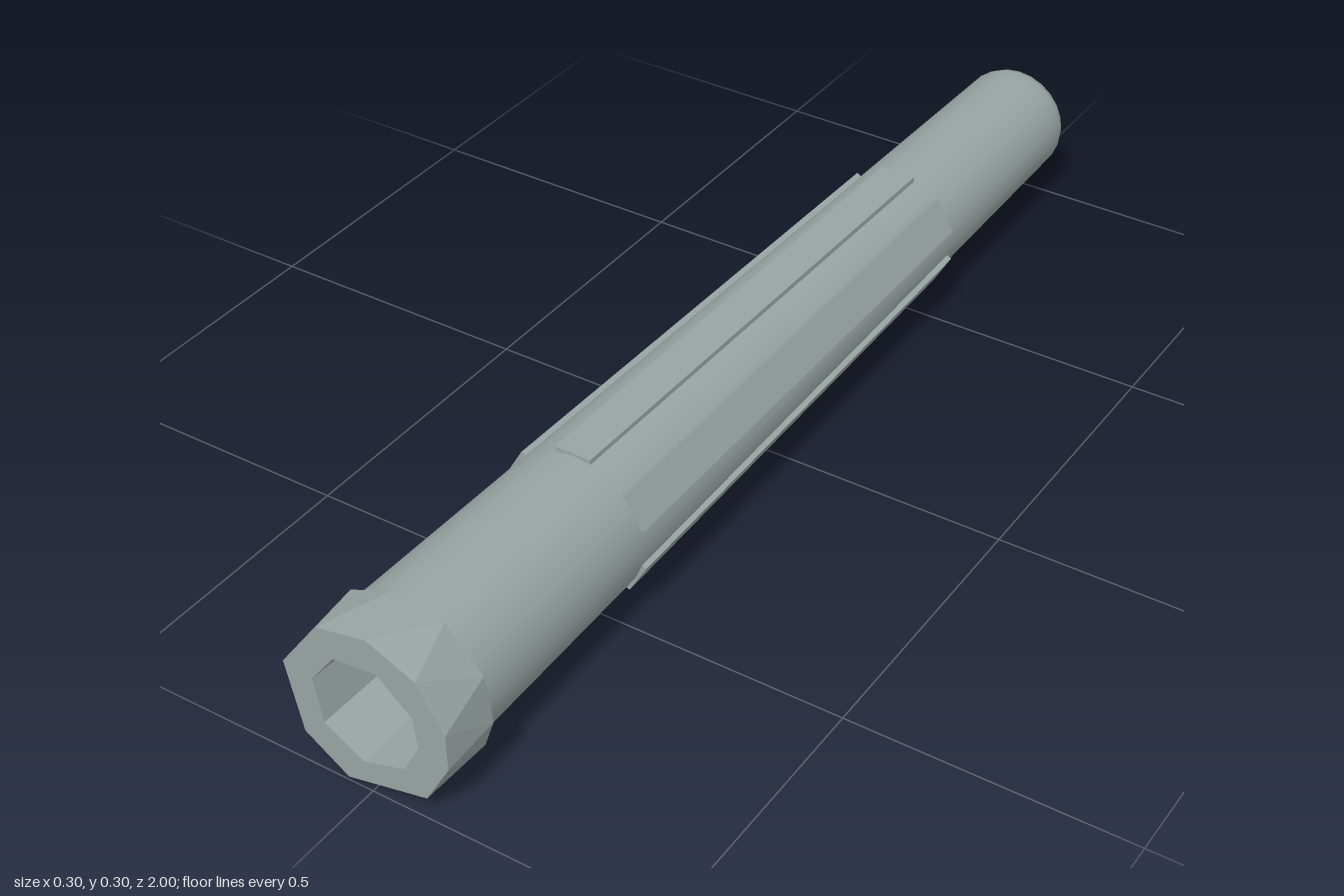
import * as THREE from 'three';

const CENTRE_Y = 0.151;
const FRONT_Z = 1, COLLAR_BACK_Z = 0.895, BORE_Z = 0.86;

// ring of points on a circle at the given angles (degrees)
function ring(angles, radius, z) {
  return angles.map(a => {
    const t = THREE.MathUtils.degToRad(a);
    return new THREE.Vector3(radius * Math.cos(t), radius * Math.sin(t), z);
  });
}

// faceted geometry from triples of points
function facets(triangles) {
  const g = new THREE.BufferGeometry().setFromPoints(triangles.flat());
  g.computeVertexNormals();
  return g;
}

export function createModel() {
  const model = new THREE.Group();
  const metal = new THREE.MeshStandardMaterial({ color: 0x98a5a3 });
  const assembly = new THREE.Group();
  assembly.name = 'taperedTube';
  assembly.position.y = CENTRE_Y;
  model.add(assembly);

  const add = (name, geometry, parent = assembly) => {
    const mesh = new THREE.Mesh(geometry, metal);
    mesh.name = name;
    parent.add(mesh);
    return mesh;
  };
  const lathe = points => new THREE.LatheGeometry(
    points.map(p => new THREE.Vector2(...p)), 24).rotateX(Math.PI / 2);

  // tapered body with rounded lip and blind hole at the back
  add('body', lathe([
    [0, -0.86], [0.035, -0.868], [0.055, -0.9], [0.062, -0.94], [0.068, -0.98],
    [0.077, -0.996], [0.087, -1], [0.097, -0.995], [0.103, -0.978],
    [0.1035, -0.95], [0.136, 0.87], [0.1365, 0.9],
  ]));

  // rounded floor of the front socket
  add('socketFloor', lathe([[0.083, BORE_Z], [0.081, 0.82], [0.07, 0.8], [0.04, 0.785], [0, 0.78]]));

  // faceted collar: front and back rims are staggered polygons
  const collar = new THREE.Group();
  collar.name = 'collar';
  assembly.add(collar);
  const front = ring([167, 120, 84, 48, 13, -12, -47, -107, -143], 0.151, FRONT_Z);
  const backAngles = [131, 97, 61, 24, -8, -30, -96, -120, -157];
  const back = ring(backAngles, 0.151, COLLAR_BACK_Z);
  const sides = [];
  front.forEach((f, i) => {
    const j = (i + 1) % front.length;
    sides.push([f, front[j], back[i]], [back[i], front[j], back[j]]);
  });
  add('collarSide', facets(sides), collar);

  const socketAngles = [165, 120, 72, 24, -9, -48, -96, -146];
  const mouth = ring(socketAngles, 0.097, FRONT_Z);
  const throat = ring(socketAngles, 0.09, BORE_Z);
  const face = new THREE.Shape(front);
  face.holes.push(new THREE.Path(mouth));
  add('collarFront', new THREE.ShapeGeometry(face).translate(0, 0, FRONT_Z), collar);

  const backFace = new THREE.Shape(ring(backAngles.map(a => 180 - a), 0.151, 0));
  add('collarBack', new THREE.ShapeGeometry(backFace).rotateY(Math.PI)
    .translate(0, 0, COLLAR_BACK_Z), collar);

  // polygonal socket wall and the ledge at its inner end
  const wall = [];
  mouth.forEach((m, i) => {
    const j = (i + 1) % mouth.length;
    wall.push([m, throat[i], mouth[j]], [throat[i], throat[j], mouth[j]]);
  });
  add('socketWall', facets(wall), collar);
  add('socketLedge', new THREE.RingGeometry(0.075, 0.092, 24).translate(0, 0, BORE_Z), collar);

  // the collar's back plate is cut open so the socket stays clear
  const opening = new THREE.Path().absarc(0, 0, 0.115, 0, Math.PI * 2, true);
  backFace.holes.push(opening);
  const plate = collar.getObjectByName('collarBack');
  plate.geometry = new THREE.ShapeGeometry(backFace).rotateY(Math.PI).translate(0, 0, COLLAR_BACK_Z);

  // six shallow grip ribs following the taper
  const ribLength = 1.005, ribDepth = 0.016, taper = 0.0179;
  for (let i = 0; i < 6; i++) {
    const holder = new THREE.Group();
    holder.name = 'gripRib' + (i + 1);
    holder.rotation.z = i * Math.PI / 3;
    assembly.add(holder);
    const rib = add('rib', new THREE.BoxGeometry(0.066, ribDepth, ribLength), holder);
    rib.position.set(0, 0.1245 - ribDepth / 2, -0.022);
    rib.rotation.x = -Math.atan(taper);
  }
  return model;
}
